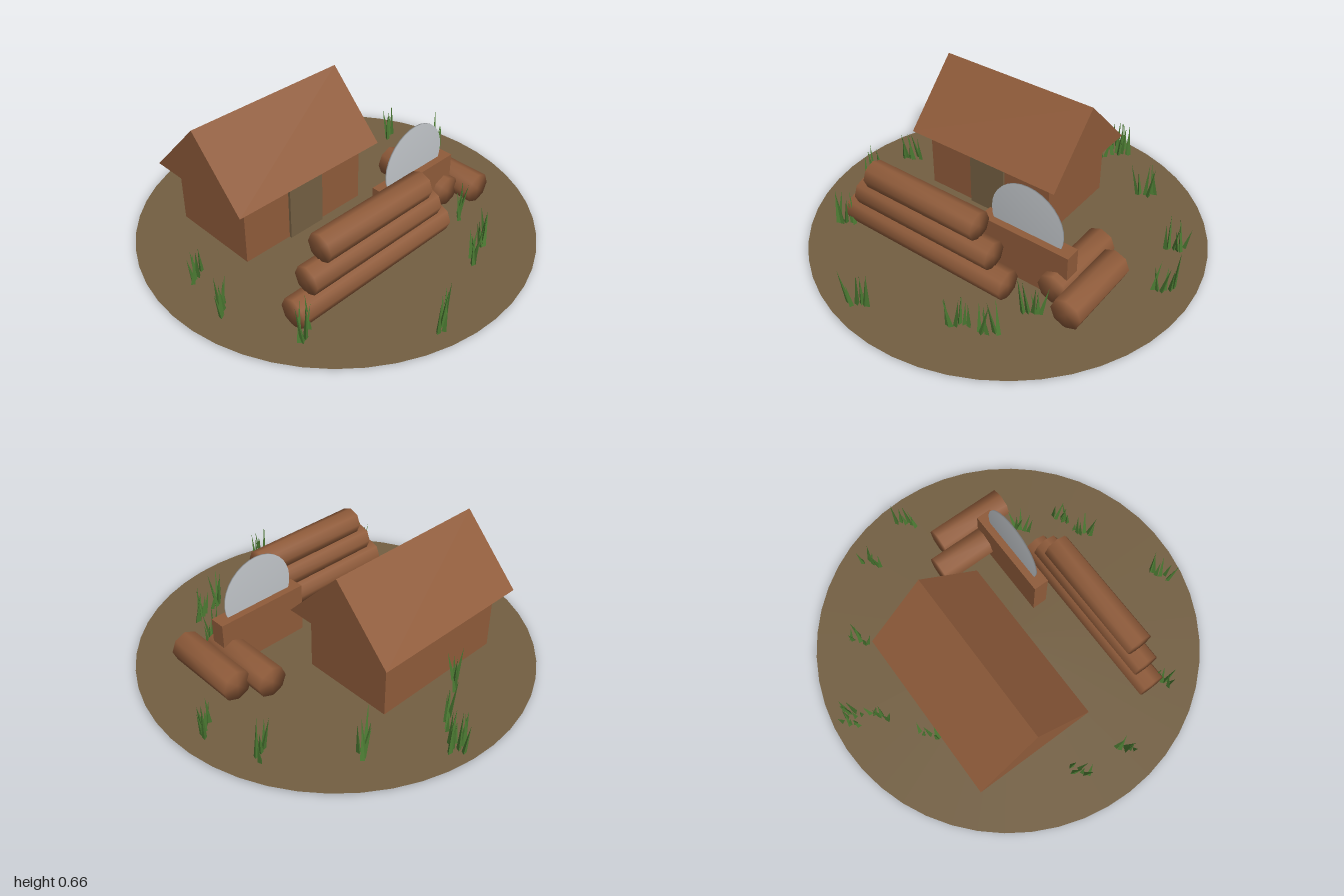
import * as THREE from 'three';
import { mergeVertices, mergeGeometries } from 'three/addons/utils/BufferGeometryUtils.js';

export function createModel() {
  const model = new THREE.Group();
  model.name = 'sawmill';

  const mat = (name, color, side = THREE.FrontSide) => {
    const m = new THREE.MeshStandardMaterial({ color, side });
    m.name = name;
    return m;
  };
  const wood = mat('wood', 0x8f5b3a);
  const earth = mat('earth', 0x735f42, THREE.DoubleSide);
  const steel = mat('steel', 0xc0c4c8);
  const grassGreen = mat('grass green', 0x4b7a32);

  const add = (name, geometry, material, x = 0, y = 0, z = 0) => {
    const mesh = new THREE.Mesh(geometry, material);
    mesh.name = name;
    mesh.position.set(x, y, z);
    model.add(mesh);
    return mesh;
  };

  // Cylinder whose normals are blended over the rim, for a soft rounded look
  const softCylinder = (radius, length, sides) => {
    const g = new THREE.CylinderGeometry(radius, radius, length, sides);
    g.deleteAttribute('normal');
    g.deleteAttribute('uv');
    const soft = mergeVertices(g, 1e-4);
    soft.computeVertexNormals();
    return soft;
  };

  // Flat round plot of earth
  add('ground', new THREE.CircleGeometry(1, 48).rotateX(-Math.PI / 2), earth, 0, 0.01, 0);

  // Shed: walls, gable roof and doorway
  const shedX = -0.165, shedZ = -0.295;
  add('shedWalls', new THREE.BoxGeometry(0.75, 0.335, 0.49), wood, shedX, 0.1725, shedZ);
  const gable = new THREE.Shape();
  gable.moveTo(-0.31, 0);
  gable.lineTo(0.31, 0);
  gable.lineTo(0, 0.325);
  gable.closePath();
  const roof = new THREE.ExtrudeGeometry(gable, { depth: 0.89, bevelEnabled: false });
  roof.translate(0, 0, -0.445).rotateY(Math.PI / 2);
  add('shedRoof', roof, wood, shedX, 0.34, shedZ);
  add('shedDoor', new THREE.BoxGeometry(0.21, 0.295, 0.02), earth, shedX, 0.1575, -0.046);

  // Stack of three logs, shorter towards the top
  [[0.97, 0.08, 0.075], [0.81, 0.217, 0.072], [0.65, 0.35, 0.072]].forEach(([length, y, r], i) => {
    add('stackedLog' + (i + 1), softCylinder(r, length, 8).rotateZ(Math.PI / 2), wood, -0.175, y, 0.41);
  });

  // Two loose logs beside the saw
  [[0.49, 0.115], [0.623, 0.205]].forEach(([x, z], i) => {
    add('looseLog' + (i + 1), softCylinder(0.08, 0.41, 8).rotateX(Math.PI / 2), wood, x, 0.088, z);
  });

  // Saw bench with upright round blade
  add('sawBench', new THREE.BoxGeometry(0.495, 0.27, 0.082), wood, 0.295, 0.14, 0.243);
  add('sawBlade', softCylinder(0.198, 0.008, 32).rotateX(Math.PI / 2), steel, 0.292, 0.335, 0.243);

  // Grass tufts: leaning three-sided blades
  let seed = 7;
  const rand = () => (seed = (seed * 16807) % 2147483647) / 2147483647;
  const tufts = [
    [0.1, -0.91], [0.14, -0.88], [0.04, -0.77], [-0.19, -0.62], [0.44, -0.635],
    [0.77, -0.34], [0.86, -0.06], [-0.78, -0.14], [-0.82, 0.12], [-0.67, 0.49],
    [0.46, 0.43], [0.24, 0.69], [0.37, 0.64], [-0.2, 0.86],
  ];
  const makeTuft = () => {
    const blades = [];
    for (let i = 0; i < 6; i++) {
      const h = 0.12 + rand() * 0.1;
      const blade = new THREE.ConeGeometry(0.013, h, 3, 1).toNonIndexed();
      blade.computeVertexNormals();
      blade.translate(0, h / 2, 0);
      blade.rotateY(rand() * Math.PI * 2);
      blade.rotateZ((rand() - 0.5) * 0.4);
      blade.rotateX((rand() - 0.5) * 0.3);
      const along = (i / 5 - 0.5) * 0.08;
      blade.translate(along + (rand() - 0.5) * 0.02, 0.004, -along * 0.6 + (rand() - 0.5) * 0.03);
      blades.push(blade);
    }
    return mergeGeometries(blades);
  };
  tufts.forEach(([x, z], i) => add('grassTuft' + (i + 1), makeTuft(), grassGreen, x, 0, z));

  return model;
}
